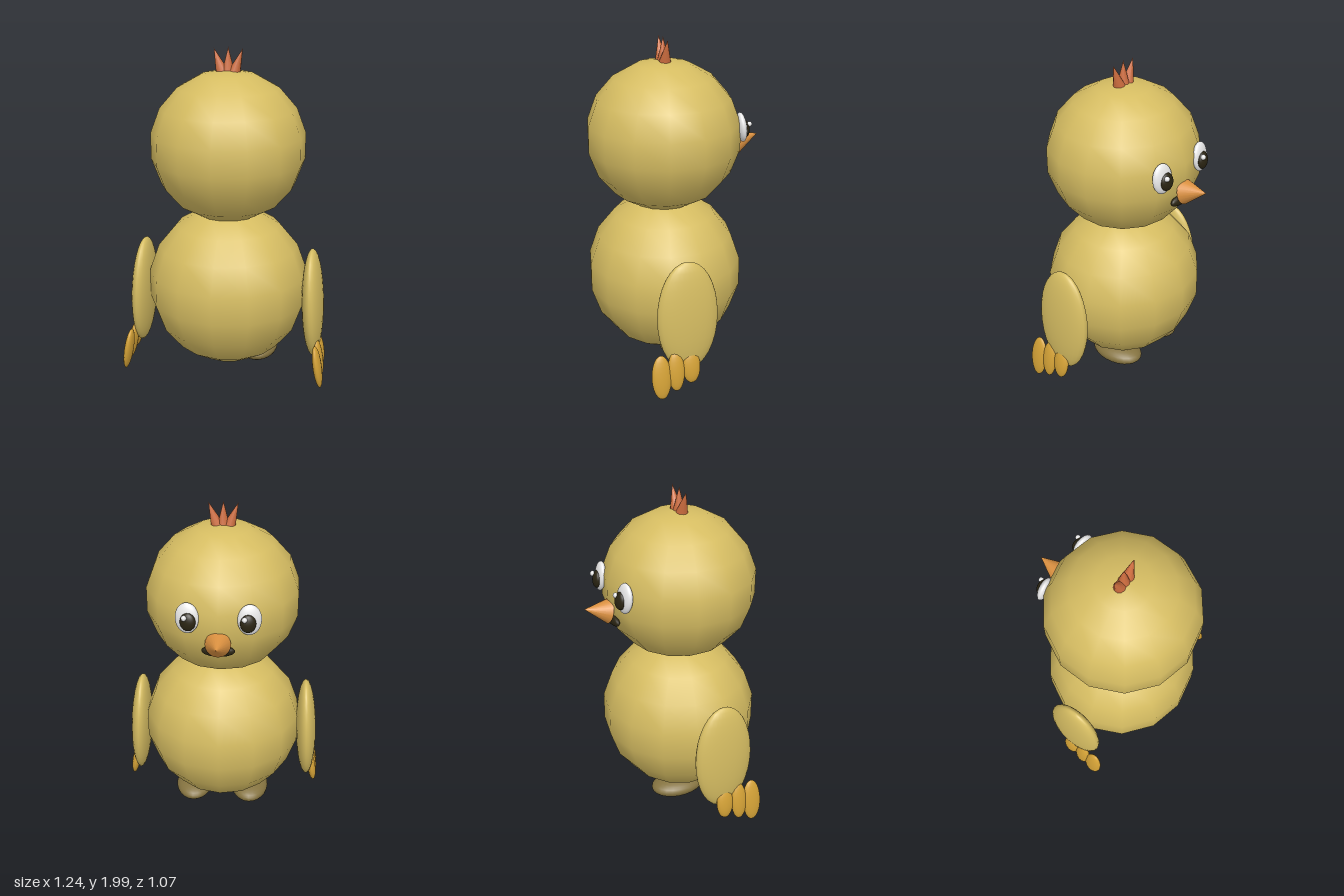
import * as THREE from 'three';

export function createModel() {
  const group = new THREE.Group();
  const paint = (name, color) => {
    const m = new THREE.MeshStandardMaterial({ color });
    m.name = name;
    return m;
  };
  const down = paint('yellowDown', 0xd6bd62);
  const gold = paint('goldFeather', 0xd3a136);
  const olive = paint('oliveFoot', 0x857340);
  const orange = paint('beakOrange', 0xda9040);
  const rust = paint('crestRust', 0xcc6c3e);
  const white = paint('eyeWhite', 0xe8e8e8);
  const dark = paint('darkBrown', 0x2a2412);

  const add = (name, geometry, material, pos) => {
    const mesh = new THREE.Mesh(geometry, material);
    mesh.name = name;
    mesh.position.set(...pos);
    group.add(mesh);
    return mesh;
  };

  // Stretched sphere; coarse ones keep a vertex row facing front and back
  const ellipsoid = (name, material, pos, radii, rot = [0, 0, 0], segs = [24, 16]) => {
    const g = new THREE.SphereGeometry(1, ...segs).rotateY(Math.PI / 2);
    g.scale(...radii);
    const mesh = add(name, g, material, pos);
    mesh.rotation.set(...rot);
    return mesh;
  };

  // Cone from the middle of its base to its tip
  const spike = (name, material, base, tip, radius, sides) => {
    const a = new THREE.Vector3(...base);
    const axis = new THREE.Vector3(...tip).sub(a);
    const h = axis.length();
    const g = new THREE.ConeGeometry(radius, h, sides).translate(0, h / 2, 0);
    const mesh = add(name, g, material, base);
    mesh.quaternion.setFromUnitVectors(new THREE.Vector3(0, 1, 0), axis.normalize());
    return mesh;
  };

  // Body and head
  ellipsoid('body', down, [0, 0.555, 0.07], [0.488, 0.495, 0.472], [0, 0, 0], [14, 9]);
  ellipsoid('head', down, [0, 1.42, 0.07], [0.463, 0.45, 0.462], [0, 0, 0], [14, 9]);

  // Crest of three spikes
  for (const s of [-1, 0, 1]) {
    spike('crestSpike', rust, [s * 0.035, 1.852, 0.07], [s * 0.085, s ? 1.992 : 2, 0.07], 0.037, 10);
  }

  // Beak and mouth
  spike('beak', orange, [0, 1.325, -0.385], [0, 1.365, -0.533], 0.074, 20);
  ellipsoid('mouth', dark, [0, 1.272, -0.362], [0.095, 0.035, 0.026]);

  for (const s of [-1, 1]) {
    // Eye, pupil and glint
    ellipsoid('eye', white, [s * 0.174, 1.47, -0.355], [0.068, 0.089, 0.03], [0.12, -s * 0.15, 0]);
    ellipsoid('pupil', dark, [s * 0.167, 1.458, -0.381], [0.045, 0.053, 0.025], [0.12, -s * 0.15, 0]);
    ellipsoid('eyeGlint', white, [s * 0.167 + 0.02, 1.488, -0.399], [0.016, 0.016, 0.016], [0, 0, 0], [12, 8]);

    // Wing with three feather tips
    ellipsoid('wing', down, [s * 0.53, 0.48, 0.102], [0.064, 0.34, 0.185], [0, 0, s * 0.04]);
    const tips = [[0.588, 0.142, 0.28, 0.134, 0.06], [0.584, 0.165, 0.19, 0.121, 0.052], [0.58, 0.177, 0.095, 0.1, 0.055]];
    for (const [x, y, z, h, d] of tips) {
      ellipsoid('wingTip', gold, [s * x, y, z], [0.026, h, d], [0, 0, s * 0.16], [16, 12]);
    }

    // Foot
    ellipsoid('foot', olive, [s * 0.178, 0.1, -0.02], [0.117, 0.06, 0.175]);
  }

  return group;
}
